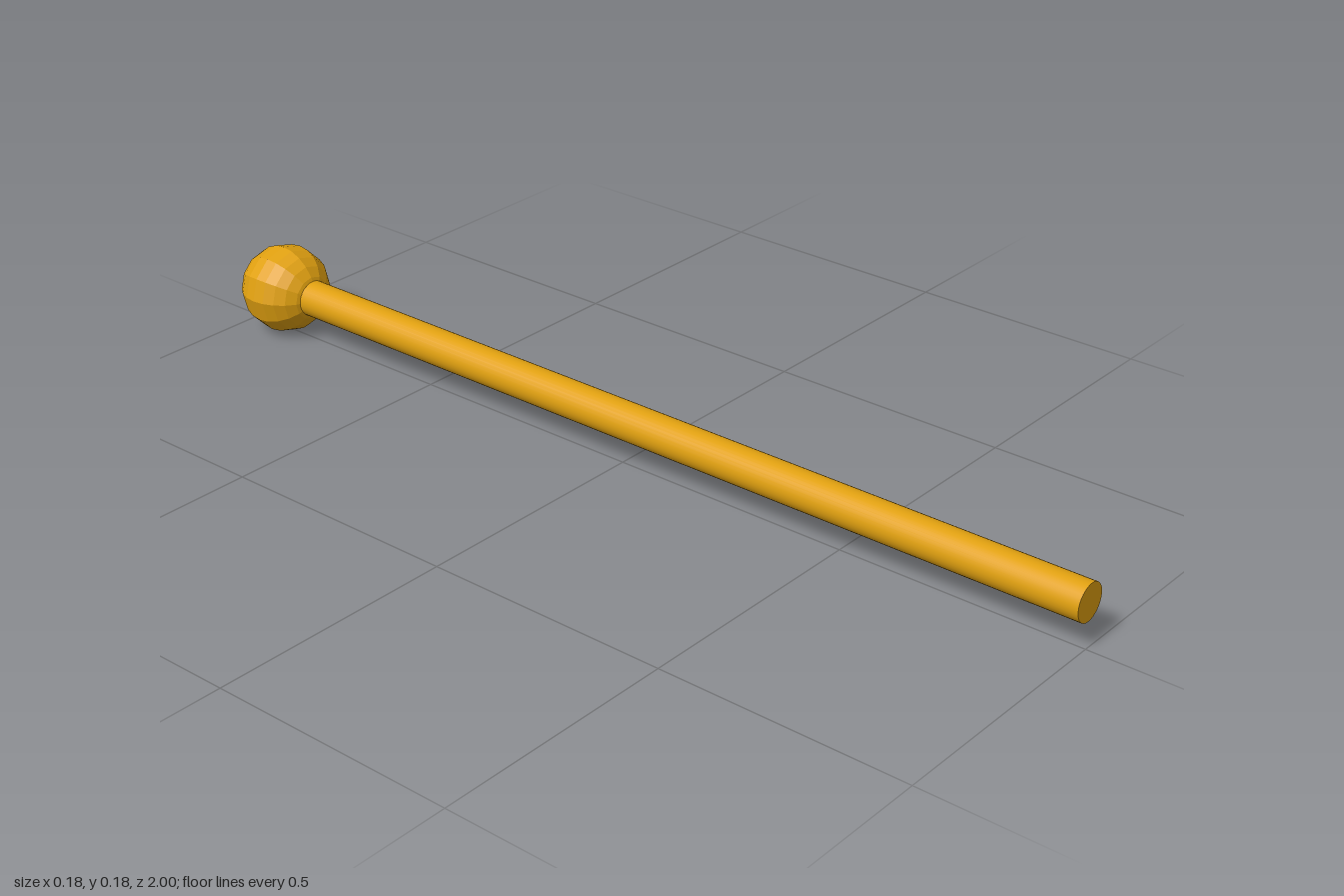
import * as THREE from 'three';

const BALL_R = 0.0905, ROD_R = 0.037, BALL_Z = -1 + BALL_R;

export function createModel() {
  const group = new THREE.Group();
  group.name = 'ballEndedRod';

  // Faceted ball at the back, its poles on the rod's axis
  const ball = new THREE.Mesh(
    new THREE.SphereGeometry(BALL_R, 12, 12).rotateX(Math.PI / 2),
    new THREE.MeshStandardMaterial({ color: 0xe0a010, flatShading: true })
  );
  ball.name = 'ball';
  ball.position.set(0, BALL_R + 0.001, BALL_Z);

  // Smooth round rod from inside the ball to the front
  const length = 1 - BALL_Z;
  const rod = new THREE.Mesh(
    new THREE.CylinderGeometry(ROD_R, ROD_R, length, 32).rotateX(Math.PI / 2),
    new THREE.MeshStandardMaterial({ color: 0xe0a010 })
  );
  rod.name = 'rod';
  rod.position.set(0, BALL_R + 0.001, 1 - length / 2);

  group.add(ball, rod);
  return group;
}
